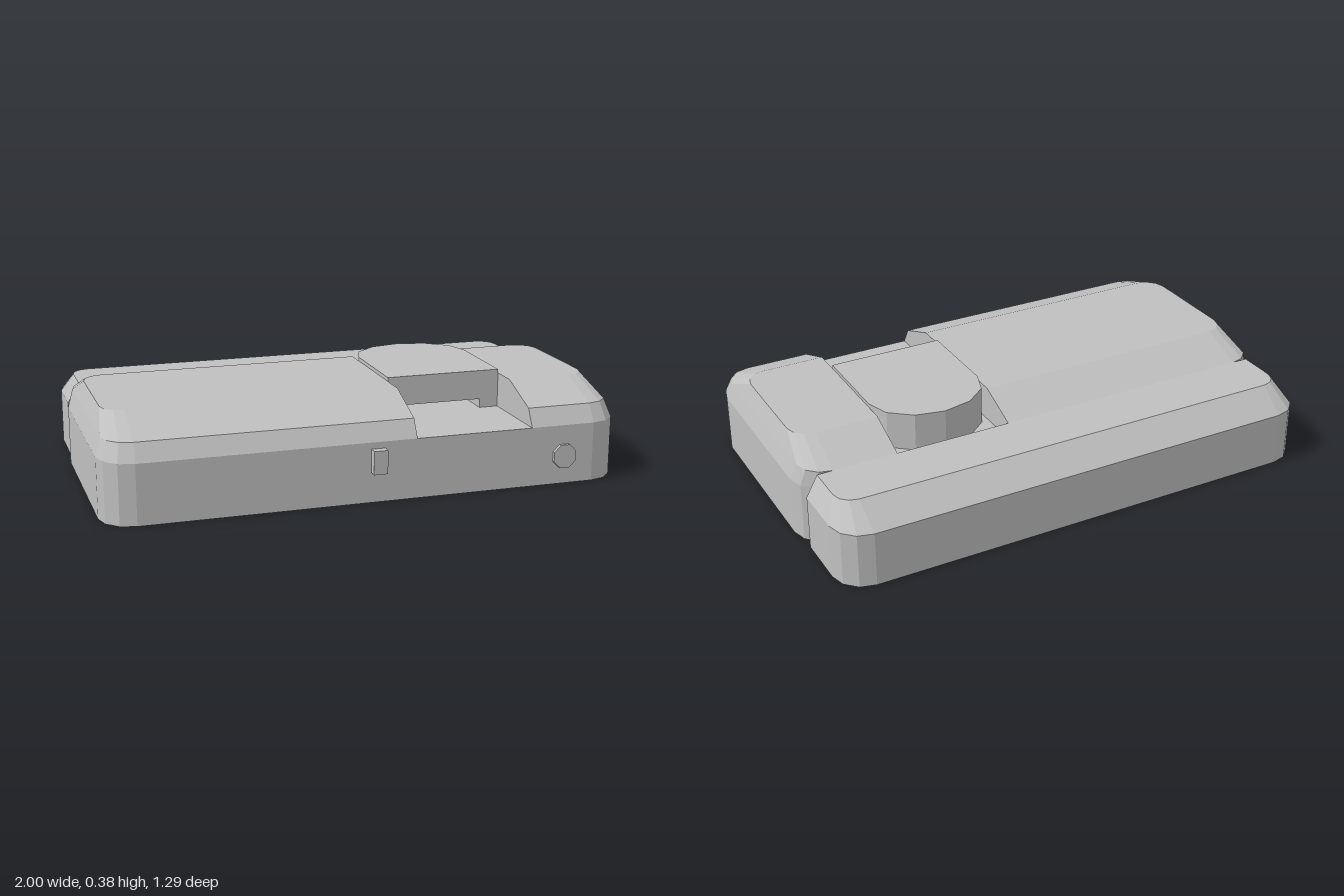
import * as THREE from 'three';

// Rounded rectangle at height y, counterclockwise from above.
// rounded = flags for front-left, front-right, back-right, back-left corners.
function ring(y, x0, x1, z0, z1, r, rounded) {
  const corners = [
    [x0, z1, 1, -1, Math.PI], [x1, z1, -1, -1, 1.5 * Math.PI],
    [x1, z0, -1, 1, 0], [x0, z0, 1, 1, 0.5 * Math.PI],
  ];
  const pts = [];
  corners.forEach(([x, z, sx, sz, start], i) => {
    if (!rounded[i]) return pts.push([x, y, z]);
    for (let k = 0; k <= 3; k++) {
      const a = start + (k * Math.PI) / 6;
      pts.push([x + sx * r + r * Math.cos(a), y, z + sz * r - r * Math.sin(a)]);
    }
  });
  return pts;
}

// Closed faceted solid through a stack of rings
function loft(rings) {
  const pos = [];
  const tri = (a, b, c) => pos.push(...a, ...b, ...c);
  const n = rings[0].length;
  for (let j = 0; j < rings.length - 1; j++) {
    for (let i = 0; i < n; i++) {
      const k = (i + 1) % n;
      const lo = rings[j], hi = rings[j + 1];
      tri(lo[i], lo[k], hi[k]);
      tri(lo[i], hi[k], hi[i]);
    }
  }
  const bottom = rings[0], top = rings[rings.length - 1];
  for (let i = 1; i < n - 1; i++) {
    tri(top[0], top[i], top[i + 1]);
    tri(bottom[0], bottom[i + 1], bottom[i]);
  }
  const g = new THREE.BufferGeometry();
  g.setAttribute('position', new THREE.Float32BufferAttribute(pos, 3));
  g.computeVertexNormals();
  return g;
}

export function createModel() {
  const model = new THREE.Group();
  model.name = 'device';
  const grey = new THREE.MeshStandardMaterial({ color: 0xc0c0c0 });
  grey.name = 'plain grey';

  const add = (name, geometry, x = 0, y = 0, z = 0) => {
    const mesh = new THREE.Mesh(geometry, grey);
    mesh.name = name;
    mesh.position.set(x, y, z);
    model.add(mesh);
    return mesh;
  };

  const slotL = 0.165, slotR = 0.625, floorY = 0.23, back = -0.32, front = 0.615;

  // Body levels: height, half width, back z, front z, corner radius
  const levels = [
    [0, 1, back, front, 0.12],
    [floorY, 1, back, front, 0.12],
    [0.297, 0.978, back, 0.575, 0.1],
    [0.365, 0.953, -0.15, 0.395, 0.08],
  ];
  add('bodyRight', loft(levels.map(([y, w, z0, z1, r]) =>
    ring(y, -w, slotL, z0, z1, r, [1, 0, 0, 1]))));
  add('bodyLeft', loft(levels.map(([y, w, z0, z1, r]) =>
    ring(y, slotR, w, z0, z1, r, [0, 1, 1, 0]))));

  // Floor of the slot between the two body halves
  add('slotFloor', new THREE.BoxGeometry(slotR - slotL, floorY, front - back),
    (slotL + slotR) / 2, floorY / 2, (front + back) / 2);

  // Lower rear section with a chamfered rim
  add('rearSection', loft([
    ring(0, -0.985, 0.985, -0.647, back, 0.12, [0, 0, 1, 1]),
    ring(0.215, -0.985, 0.985, -0.647, back, 0.12, [0, 0, 1, 1]),
    ring(0.297, -0.94, 0.94, -0.537, back, 0.07, [0, 0, 1, 1]),
  ]));

  // Slider in the slot: round at the back, with a notch under its front edge
  const sliderPlan = (notch) => {
    const s = new THREE.Shape();
    s.moveTo(slotL, -0.285);
    if (notch) {
      s.lineTo(0.235, -0.285);
      s.lineTo(0.235, -0.1);
      s.lineTo(0.55, -0.1);
      s.lineTo(0.55, -0.285);
    }
    s.lineTo(slotR, -0.285);
    for (let k = 0; k <= 6; k++) {
      const a = (k * Math.PI) / 6;
      s.lineTo(0.395 + 0.23 * Math.cos(a), 0.07 + 0.185 * Math.sin(a));
    }
    return s;
  };
  const slab = (notch, depth) => new THREE.ExtrudeGeometry(sliderPlan(notch),
    { depth, bevelEnabled: false }).rotateX(-Math.PI / 2);
  add('sliderFoot', slab(true, 0.035), 0, floorY, 0);
  add('sliderTop', slab(false, 0.115), 0, floorY + 0.035, 0);

  // Front controls
  add('catch', new THREE.BoxGeometry(0.054, 0.09, 0.034), 0.013, 0.16, 0.63);
  const knob = new THREE.CylinderGeometry(0.049, 0.049, 0.016, 8).toNonIndexed();
  knob.computeVertexNormals();
  add('knob', knob.rotateY(Math.PI / 8).rotateX(Math.PI / 2), 0.76, 0.11, 0.62);

  return model;
}
